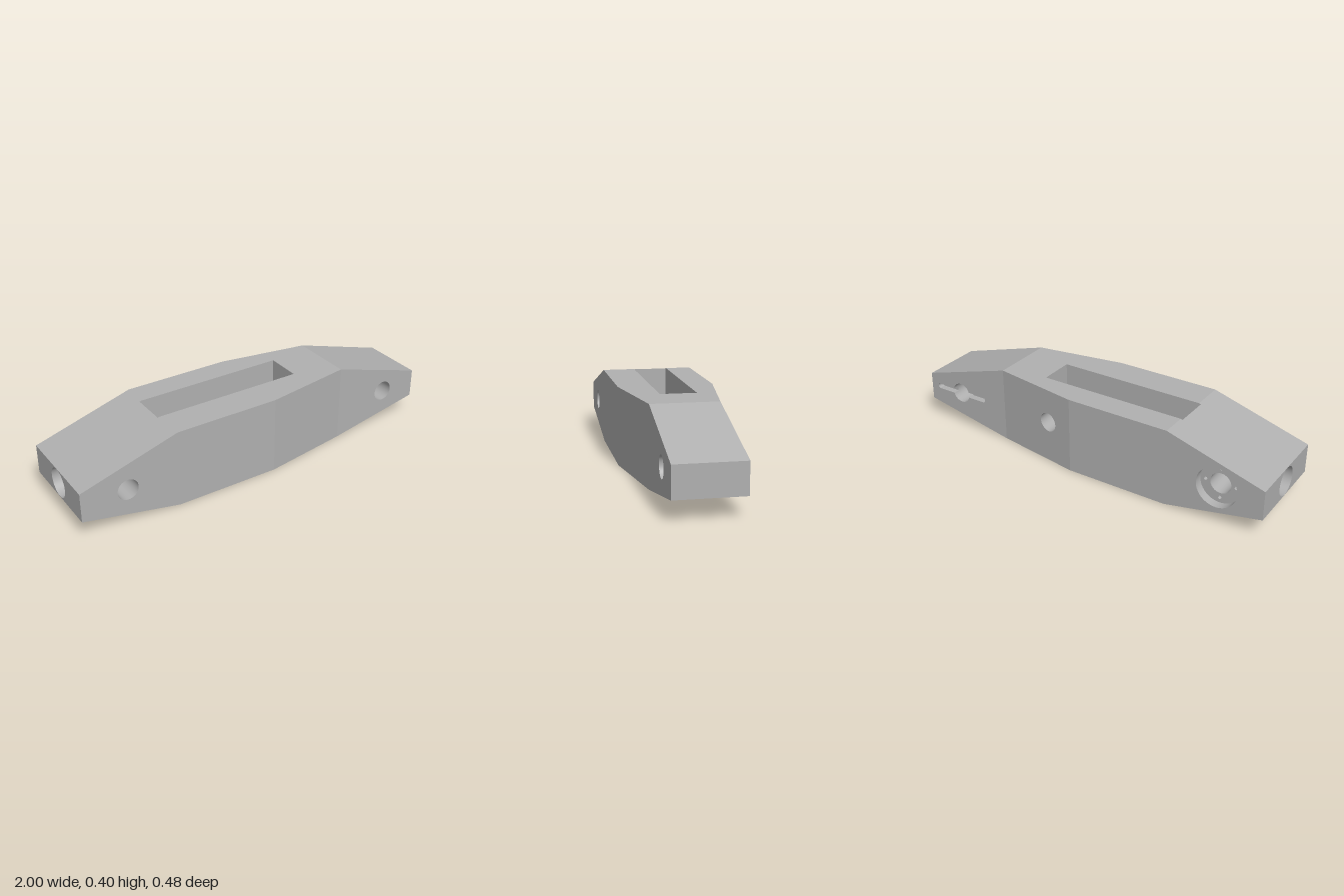
import * as THREE from 'three';
import { mergeGeometries } from 'three/addons/utils/BufferGeometryUtils.js';

const V = (x, y) => new THREE.Vector2(x, y);

// outline rules of the tapered arm
const yTop = x => 0.4 - 0.3 * Math.max(0, Math.abs(x) - 0.5);
const yBot = x => 0.2 * Math.max(0, Math.abs(x) - 0.5);
const half = x => 0.24 - 0.075 * THREE.MathUtils.clamp((x - 0.04) / 0.46, 0, 1);
const front = half, back = x => -half(x);
const at = z => () => z;

function circle(cx, cy, r, n = 48) {
  return Array.from({ length: n }, (_, i) => {
    const a = (i / n) * Math.PI * 2;
    return V(cx + r * Math.cos(a), cy + r * Math.sin(a));
  });
}

function arc(cx, cy, r, a0, a1, n = 16) {
  return Array.from({ length: n + 1 }, (_, i) => {
    const a = a0 + ((a1 - a0) * i) / n;
    return V(cx + r * Math.cos(a), cy + r * Math.sin(a));
  });
}

// flat panel with holes, laid on the surface z = zOf(x)
function panel(pts, holes, zOf, flip = false) {
  const shape = new THREE.Shape(pts);
  shape.holes = holes.map(h => new THREE.Path(h));
  const g = new THREE.ShapeGeometry(shape);
  const p = g.attributes.position;
  for (let i = 0; i < p.count; i++) p.setZ(i, zOf(p.getX(i)));
  if (flip) g.index.array.reverse();
  g.computeVertexNormals();
  return g;
}

// inward-facing wall round a closed outline, between two depths (zHigh > zLow)
function wall(pts, zHigh, zLow, flat = false) {
  const pos = [], idx = [], n = pts.length;
  pts.forEach(p => pos.push(p.x, p.y, zHigh(p.x), p.x, p.y, zLow(p.x)));
  for (let i = 0; i < n; i++) {
    const a = 2 * i, b = 2 * ((i + 1) % n);
    idx.push(a, b, a + 1, b, b + 1, a + 1);
  }
  let g = new THREE.BufferGeometry();
  g.setAttribute('position', new THREE.Float32BufferAttribute(pos, 3));
  g.setIndex(idx);
  if (flat) g = g.toNonIndexed();
  g.computeVertexNormals();
  return g;
}

function quad(...c) {
  const g = new THREE.BufferGeometry();
  g.setAttribute('position', new THREE.Float32BufferAttribute(c.flat(), 3));
  g.setIndex([0, 1, 2, 0, 2, 3]);
  g.computeVertexNormals();
  return g;
}

export function createModel() {
  const model = new THREE.Group();
  const grey = new THREE.MeshStandardMaterial({ color: 0xb0b0b0, side: THREE.DoubleSide });
  grey.name = 'plain grey';

  const add = (name, ...geos) => {
    geos = geos.map(g => {
      const f = g.index ? g.toNonIndexed() : g;
      f.deleteAttribute('uv');
      return f;
    });
    const m = new THREE.Mesh(mergeGeometries(geos), grey);
    m.name = name;
    model.add(m);
  };

  // side segments, split where the plan width changes
  const wide = [V(-1, 0.1), V(-0.5, 0), V(0.04, 0), V(0.04, 0.4), V(-0.5, 0.4), V(-1, 0.25)];
  const taper = [V(0.04, 0), V(0.5, 0), V(0.5, 0.4), V(0.04, 0.4)];
  const narrow = [V(0.5, 0), V(1, 0.1), V(1, 0.25), V(0.5, 0.4)];

  // hole outlines
  const yH = 0.187, R = 0.053, xL = -0.765, xR = 0.795;
  const holeL = circle(xL, yH, R), holeR = circle(xR, yH, R);
  const bore = circle(xL, yH, 0.104);
  const sideHole = circle(0.185, 0.22, 0.05);
  const pins = [0, 1, 2, 3].map(i => {
    const a = (i * Math.PI) / 2;
    return circle(xL + 0.077 * Math.cos(a), yH + 0.077 * Math.sin(a), 0.009, 16);
  });

  // keyway: round hole with a narrow round-ended groove on each side
  const h = 0.014, reach = 0.148, a = Math.asin(h / R), P = Math.PI;
  const tipR = arc(xR + reach, yH, h, -P / 2, P / 2);
  const tipL = arc(xR - reach, yH, h, P / 2, 1.5 * P);
  const keyway = [...tipR, ...arc(xR, yH, R, a, P - a), ...tipL, ...arc(xR, yH, R, P + a, 2 * P - a)];
  const wingR = [...tipR, ...arc(xR, yH, R, a, -a, 6)];
  const wingL = [...tipL, ...arc(xR, yH, R, P + a, P - a, 6)];

  // outer sides
  add('frontFace', panel(wide, [holeL], front), panel(taper, [], front), panel(narrow, [holeR], front));
  add('backFace', panel(wide, [bore], back, true), panel(taper, [sideHole], back, true),
    panel(narrow, [keyway], back, true));

  // top and bottom skins, leaving the long slot open
  const s0 = -0.51, s1 = 0.27, zB = -0.108, zF = 0.072;
  const xs = [-1, s0, -0.5, 0.04, s1, 0.5, 1], top = [], bottom = [];
  for (let i = 0; i < xs.length - 1; i++) {
    const x0 = xs[i], x1 = xs[i + 1];
    const strips = x0 >= s0 && x1 <= s1 ? [[back, at(zB)], [at(zF), front]] : [[back, front]];
    for (const [b, f] of strips) {
      const skin = y => [[x0, y(x0), f(x0)], [x1, y(x1), f(x1)], [x1, y(x1), b(x1)], [x0, y(x0), b(x0)]];
      top.push(quad(...skin(yTop)));
      bottom.push(quad(...skin(yBot).reverse()));
    }
  }
  add('topFace', ...top);
  add('bottomFace', ...bottom);

  // slot walls
  const slotSide = [V(s0, yBot(s0)), V(-0.5, 0), V(s1, 0), V(s1, 0.4), V(-0.5, 0.4), V(s0, yTop(s0))];
  add('slotWalls',
    panel(slotSide, [sideHole], at(zB)),
    panel(slotSide, [], at(zF), true),
    quad([s0, yBot(s0), zF], [s0, yBot(s0), zB], [s0, yTop(s0), zB], [s0, yTop(s0), zF]),
    quad([s1, 0, zB], [s1, 0, zF], [s1, 0.4, zF], [s1, 0.4, zB]));

  // counterbored pivot hole with four pin holes
  const floorL = -0.195, pinEnd = -0.165;
  add('pivotHole', wall(holeL, front, at(floorL)));
  add('counterbore', wall(bore, at(floorL), back), panel(bore, [holeL, ...pins], at(floorL), true));
  add('pinHoles', ...pins.flatMap(p => [wall(p, at(pinEnd), at(floorL)), panel(p, [], at(pinEnd), true)]));

  // keyed hole at the narrow end
  const floorR = -0.13;
  add('keyedHole', wall(holeR, front, at(floorR)));
  add('keyway', wall(keyway, at(floorR), back, true),
    panel(wingR, [], at(floorR), true), panel(wingL, [], at(floorR), true));

  // cross hole from the back into the slot
  add('sideHole', wall(sideHole, at(zB), back));

  // ends: plain at the narrow end, bored at the wide end
  add('narrowEnd', quad([1, 0.1, 0.165], [1, 0.1, -0.165], [1, 0.25, -0.165], [1, 0.25, 0.165]));
  const endBore = circle(0, 0.175, 0.073);
  const endRect = [V(-0.24, 0.1), V(0.24, 0.1), V(0.24, 0.25), V(-0.24, 0.25)];
  const turn = g => g.rotateY(-Math.PI / 2);
  add('wideEnd', turn(panel(endRect, [endBore], at(1))));
  add('endBore', turn(wall(endBore, at(1), at(0.83))), turn(panel(endBore, [], at(0.83))));

  return model;
}
